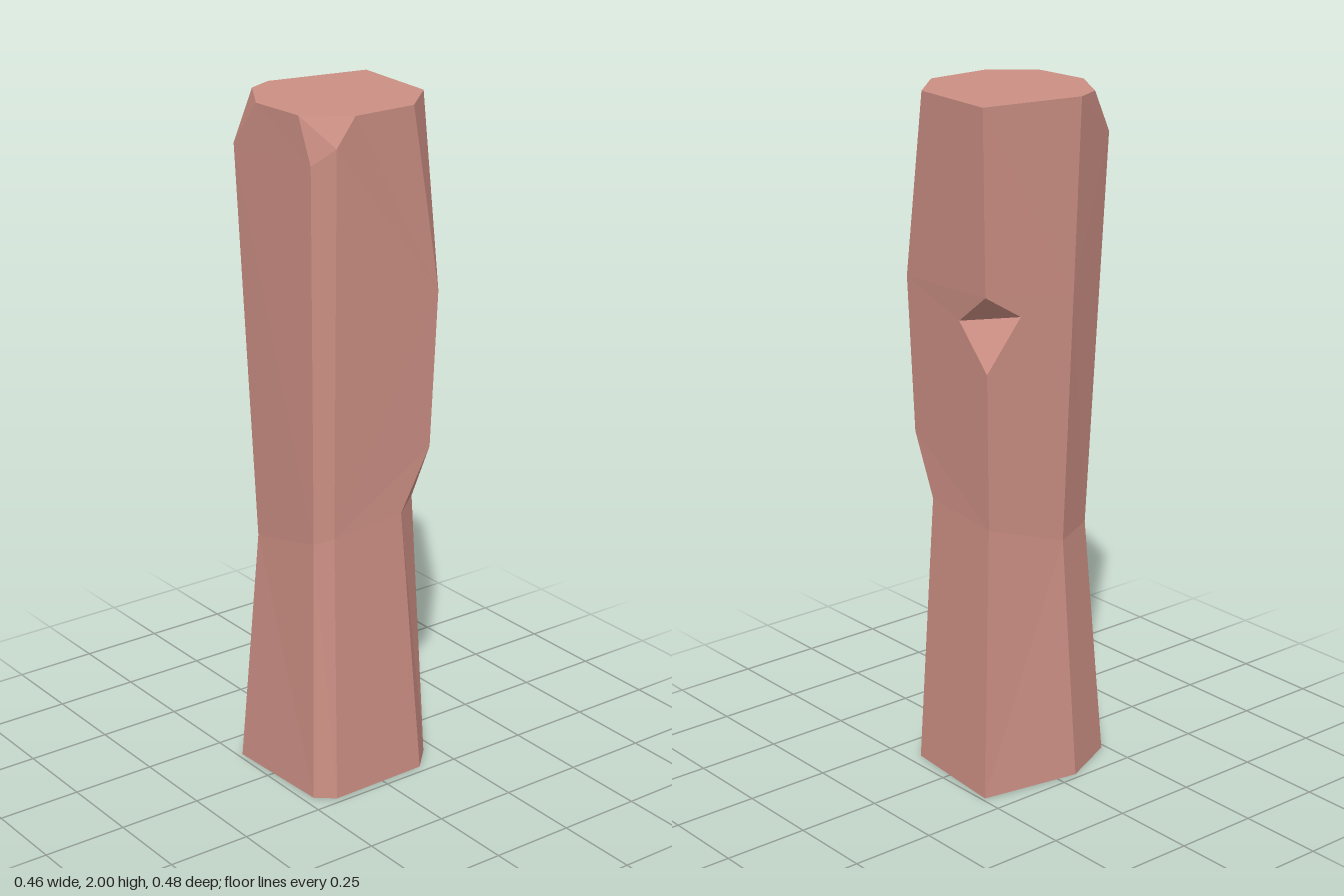
import * as THREE from 'three';

// A hewn post: each corner is an edge line running from the ground to the top.
// A chipped corner has two lines (left and right of the chip) that meet where it is sharp.
function edgeLines() {
  const line = (...pts) => pts.map((p) => new THREE.Vector3(...p));

  // Plain left ridge
  const leftRidge = line([-0.232, 0, 0.06], [-0.18, 0.72, 0.05], [-0.21, 1.45, 0.056], [-0.232, 2, 0.06]);

  // Front left corner, chipped at the top
  const frontLeft = [[-0.15, 0, 0.236], [-0.105, 0.72, 0.2], [-0.15, 1.87, 0.234]];
  const frontLeftA = line(...frontLeft, [-0.195, 2, 0.14]);
  const frontLeftB = line(...frontLeft, [-0.045, 2, 0.232]);

  // Front right corner, bevelled all the way and chipped at the top
  const frontRightA = line([0.187, 0, 0.22], [0.16, 0.78, 0.197], [0.18, 1.87, 0.217], [0.135, 2, 0.224]);
  const frontRightB = line([0.23, 0, 0.168], [0.2, 0.8, 0.155], [0.228, 1.92, 0.168], [0.23, 2, 0.108]);

  // Back right corner, with a long chip below and another above
  const sharp = [[0.2, 1, -0.18], [0.21, 1.46, -0.195]];
  const backRightA = line([0.225, 0, -0.14], [0.2, 0.82, -0.08], ...sharp, [0.225, 2, -0.09]);
  const backRightB = line([0.155, 0, -0.21], [0.115, 0.82, -0.185], ...sharp, [0.105, 2, -0.218]);

  // Back left corner, with a small notch
  const below = [[-0.18, 0, -0.24], [-0.15, 0.8, -0.198], [-0.161, 1.26, -0.212]];
  const above = [[-0.167, 1.48, -0.222], [-0.18, 2, -0.24]];
  const backLeftA = line(...below, [-0.035, 1.385, -0.206], ...above);
  const backLeftB = line(...below, [-0.182, 1.41, -0.11], ...above);

  return [leftRidge, frontLeftA, frontLeftB, frontRightA, frontRightB,
    backRightA, backRightB, backLeftA, backLeftB];
}

function postGeometry() {
  const lines = edgeLines();
  const positions = [];
  const tri = (a, b, c) => {
    if (new THREE.Triangle(a, b, c).getArea() < 1e-7) return;
    for (const p of [a, b, c]) positions.push(p.x, p.y, p.z);
  };

  // Side panels: zip each line to the next one, climbing by height
  lines.forEach((left, k) => {
    const right = lines[(k + 1) % lines.length];
    let i = 0, j = 0;
    while (i < left.length - 1 || j < right.length - 1) {
      const stepLeft = j === right.length - 1 ||
        (i < left.length - 1 && left[i + 1].y <= right[j + 1].y);
      if (stepLeft) tri(left[i], right[j], left[++i]);
      else tri(left[i], right[j], right[++j]);
    }
  });

  // Flat top and bottom
  const bottom = lines.map((l) => l[0]);
  const top = lines.map((l) => l[l.length - 1]);
  for (let k = 1; k < lines.length - 1; k++) {
    tri(top[0], top[k], top[k + 1]);
    tri(bottom[0], bottom[k + 1], bottom[k]);
  }

  const geometry = new THREE.BufferGeometry();
  geometry.setAttribute('position', new THREE.Float32BufferAttribute(positions, 3));
  geometry.computeVertexNormals();
  return geometry;
}

export function createModel() {
  const model = new THREE.Group();
  model.name = 'hewnPost';
  const material = new THREE.MeshStandardMaterial({ color: 0xcc8f84, flatShading: true });
  const post = new THREE.Mesh(postGeometry(), material);
  post.name = 'post';
  model.add(post);
  return model;
}
